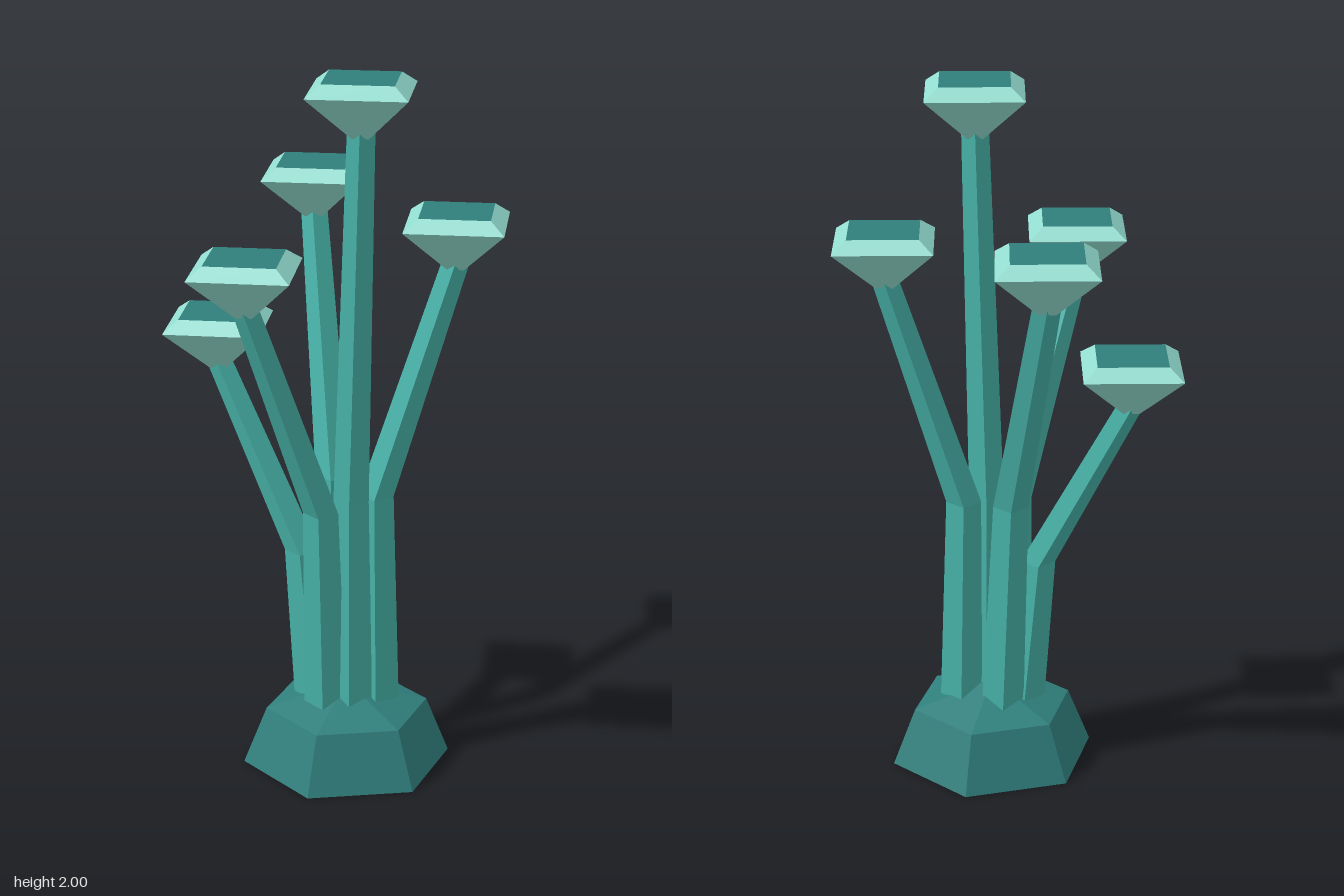
import * as THREE from 'three';

const mat = (name, color) => {
  const m = new THREE.MeshStandardMaterial({ color, flatShading: true });
  m.name = name;
  return m;
};

// Square tube through axis-aligned sections [x, y, z, width], capped at both ends
function squareTube(sections) {
  const pos = [], idx = [];
  const corners = [[-1, 1], [1, 1], [1, -1], [-1, -1]];
  for (const [x, y, z, w] of sections)
    for (const [cx, cz] of corners) pos.push(x + cx * w / 2, y, z + cz * w / 2);
  for (let s = 0; s < sections.length - 1; s++)
    for (let k = 0; k < 4; k++) {
      const a = s * 4 + k, b = s * 4 + (k + 1) % 4;
      idx.push(a, b, b + 4, a, b + 4, a + 4);
    }
  const t = (sections.length - 1) * 4;
  idx.push(0, 2, 1, 0, 3, 2, t, t + 1, t + 2, t, t + 2, t + 3);
  const g = new THREE.BufferGeometry();
  g.setAttribute('position', new THREE.Float32BufferAttribute(pos, 3));
  g.setIndex(idx);
  const flat = g.toNonIndexed();
  flat.computeVertexNormals();
  return flat;
}

export function createModel() {
  const root = new THREE.Group();
  root.name = 'stalkCluster';
  const darkTeal = mat('dark teal', 0x2f7f7c);
  const teal = mat('teal', 0x46b0a6);
  const mint = mat('mint', 0x92dccf);

  const add = (parent, name, geometry, material, x, y, z) => {
    const m = new THREE.Mesh(geometry, material);
    m.name = name;
    m.position.set(x, y, z);
    parent.add(m);
    return m;
  };

  // Hexagonal rock base with a shallow peaked top
  const base = new THREE.Group();
  base.name = 'base';
  base.position.set(0.127, 0, -0.057);
  base.rotation.y = Math.PI / 6;
  root.add(base);
  add(base, 'baseSides', new THREE.CylinderGeometry(0.232, 0.298, 0.165, 6, 1, true), darkTeal, 0, 0.0825, 0);
  add(base, 'basePeak', new THREE.ConeGeometry(0.232, 0.07, 6, 1, true), darkTeal, 0, 0.2, 0);
  add(base, 'baseUnderside', new THREE.CircleGeometry(0.298, 6, Math.PI / 6), darkTeal, 0, 0, 0);
  base.children[2].rotation.x = Math.PI / 2;

  // Each stalk: foot [x, z], knee [x, y, z], head centre [x, z] and height of its top
  const stalks = [
    { name: 'backRight', foot: [0.06, -0.08], knee: [0.01, 0.82, -0.095], head: [-0.285, -0.257], top: 1.655 },
    { name: 'backLeft', foot: [0.188, -0.122], knee: [0.168, 0.8, -0.125], head: [0.281, -0.307], top: 1.615 },
    { name: 'centre', foot: [0.168, -0.04], knee: [0.162, 0.8, -0.04], head: [0.195, -0.04], top: 2.0 },
    { name: 'frontRight', foot: [0.052, 0.0], knee: [0.01, 0.62, 0.015], head: [-0.257, 0.107], top: 1.28 },
    { name: 'front', foot: [0.127, 0.022], knee: [0.133, 0.775, 0.045], head: [0.135, 0.303], top: 1.555 },
  ];

  for (const s of stalks) {
    const g = new THREE.Group();
    g.name = s.name + 'Stalk';
    root.add(g);
    const [hx, hz] = s.head;
    const rimY = s.top - 0.033, bottomY = s.top - 0.16;

    // Tapered stem, bent once
    add(g, 'stem', squareTube([
      [s.foot[0], 0.19, s.foot[1], 0.085],
      [...s.knee, 0.07],
      [hx, bottomY + 0.02, hz, 0.054],
    ]), teal, 0, 0, 0);

    // Diamond head: flaring underside, bevelled rim and flat dark top
    add(g, 'headUnderside', new THREE.CylinderGeometry(0.193, 0.032, rimY - bottomY, 4, 1, true), mint, hx, (rimY + bottomY) / 2, hz);
    add(g, 'headRim', new THREE.CylinderGeometry(0.138, 0.193, s.top - rimY, 4, 1, true), mint, hx, (rimY + s.top) / 2, hz);
    add(g, 'headTop', new THREE.CircleGeometry(0.138, 4), darkTeal, hx, s.top, hz).rotation.x = -Math.PI / 2;
    add(g, 'headBottom', new THREE.CircleGeometry(0.032, 4), mint, hx, bottomY, hz).rotation.x = Math.PI / 2;
  }
  return root;
}
